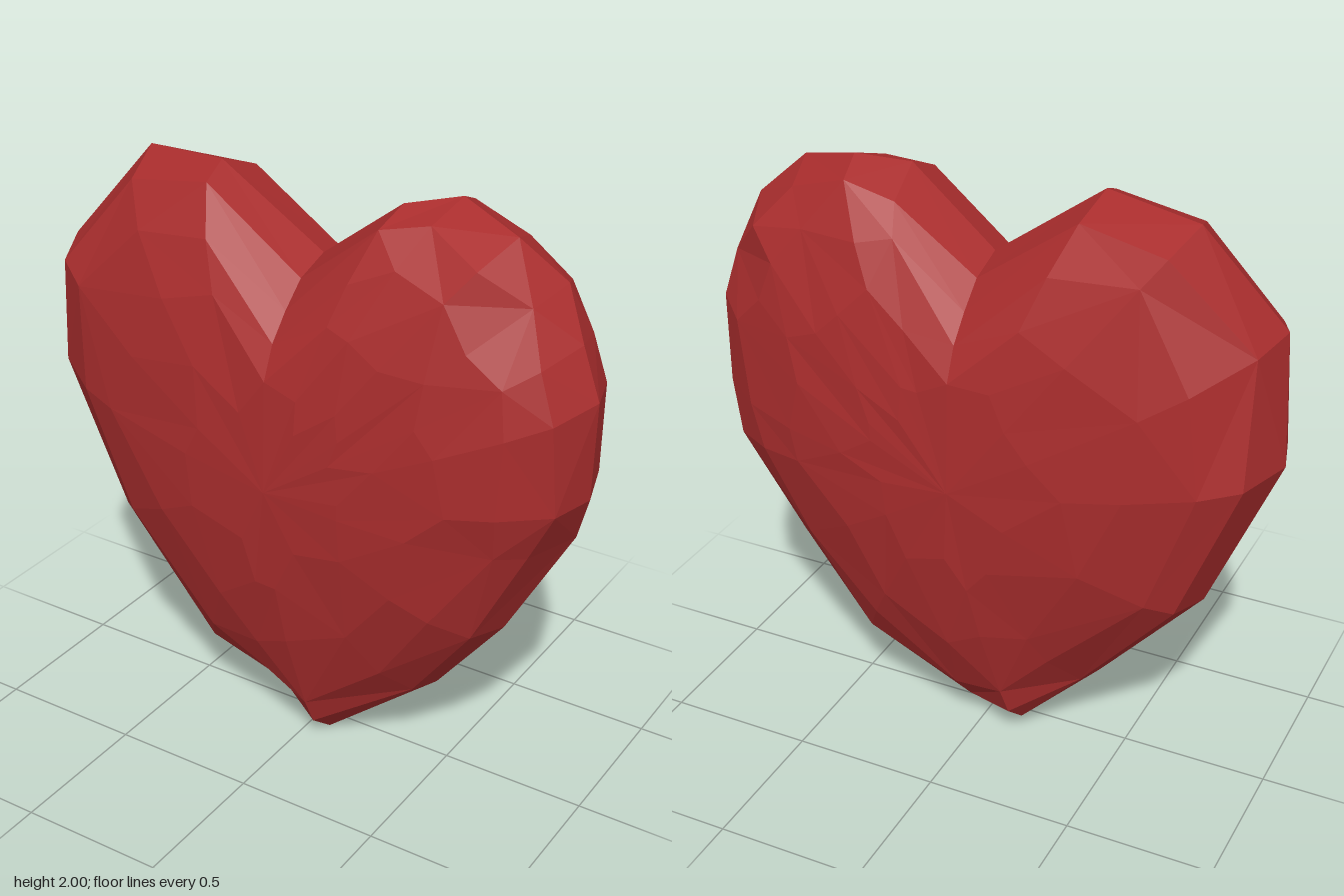
import * as THREE from 'three';

// Heart outline, clockwise from the notch: x, y, and how far the rim wanders in z
const outline = [
  [0, 1.74, 0], [0.3, 1.97, 0.03], [0.46, 2, -0.05], [0.68, 1.94, 0.02], [0.82, 1.81, -0.04],
  [0.91, 1.66, 0.03], [0.98, 1.5, 0.05], [0.97, 1.17, 0.04], [0.9, 0.98, -0.04], [0.7, 0.61, 0.02],
  [0.43, 0.26, -0.04], [0.07, 0, 0.07], [-0.15, 0.05, -0.1], [-0.38, 0.23, 0.04], [-0.76, 0.68, -0.03],
  [-0.98, 1.21, 0], [-0.94, 1.63, 0.06], [-0.68, 1.96, -0.03], [-0.35, 1.99, 0.04],
];
const midY = 1.05;
const halfDepth = 0.355;
const ringScales = [0.32, 0.6, 0.81, 0.94]; // from the middle of a face to the rim

// Point k of the outline shrunk to scale s, on the front (side 1) or back (side -1)
function surfacePoint(k, s, side) {
  const [ox, oy, rimZ] = outline[k];
  const dy = oy - midY;
  const slope = dy / Math.hypot(ox, dy);
  const n = 2.7 - (slope < 0 ? 0.75 : 0.6) * slope * slope; // thinner towards tip and top
  // slide points in and out along the surface, except in the notch
  const slide = s < 1 && k > 0 ? 0.1 * (1.1 - s) * Math.sin(k * 2.3 + s * 17 + side) : 0;
  const r = s + slide;
  const z = halfDepth * Math.pow(1 - Math.pow(r, n), 1 / n);
  const lift = k === 0 ? Math.max(0, 0.85 - s) * 0.3 : 0; // the notch fades out inwards
  return new THREE.Vector3(ox * r, midY + dy * r + lift, side * z + rimZ * Math.pow(r, 8));
}

function heartGeometry() {
  const count = outline.length;
  const rings = [
    ...ringScales.map((s) => [s, 1]),
    [1, 1],
    ...ringScales.slice().reverse().map((s) => [s, -1]),
  ];
  const points = [new THREE.Vector3(0, midY, halfDepth)];
  for (const [s, side] of rings) {
    for (let k = 0; k < count; k++) points.push(surfacePoint(k, s, side));
  }
  points.push(new THREE.Vector3(0, midY, -halfDepth));

  const index = [];
  const at = (ring, k) => 1 + ring * count + (k % count);
  const last = points.length - 1;
  // how far out the middle of a diagonal lies
  const center = new THREE.Vector3(0, midY, 0);
  const reach = (i, j) => points[i].clone().lerp(points[j], 0.5).distanceTo(center);
  for (let k = 0; k < count; k++) {
    index.push(0, at(0, k + 1), at(0, k)); // front centre fan
    for (let ring = 0; ring < rings.length - 1; ring++) {
      const a = at(ring, k), b = at(ring, k + 1);
      const c = at(ring + 1, k + 1), d = at(ring + 1, k);
      // split each quad along its outer diagonal so the facets bulge
      if (reach(a, c) > reach(b, d)) index.push(a, b, c, a, c, d);
      else index.push(a, b, d, b, c, d);
    }
    index.push(last, at(rings.length - 1, k), at(rings.length - 1, k + 1)); // back centre fan
  }

  const geometry = new THREE.BufferGeometry().setFromPoints(points);
  geometry.setIndex(index);
  geometry.computeVertexNormals();
  return geometry;
}

export function createModel() {
  const group = new THREE.Group();
  group.name = 'heartModel';
  const material = new THREE.MeshStandardMaterial({ color: 0xa92d2d, flatShading: true });
  const heart = new THREE.Mesh(heartGeometry(), material);
  heart.name = 'heart';
  group.add(heart);
  return group;
}
